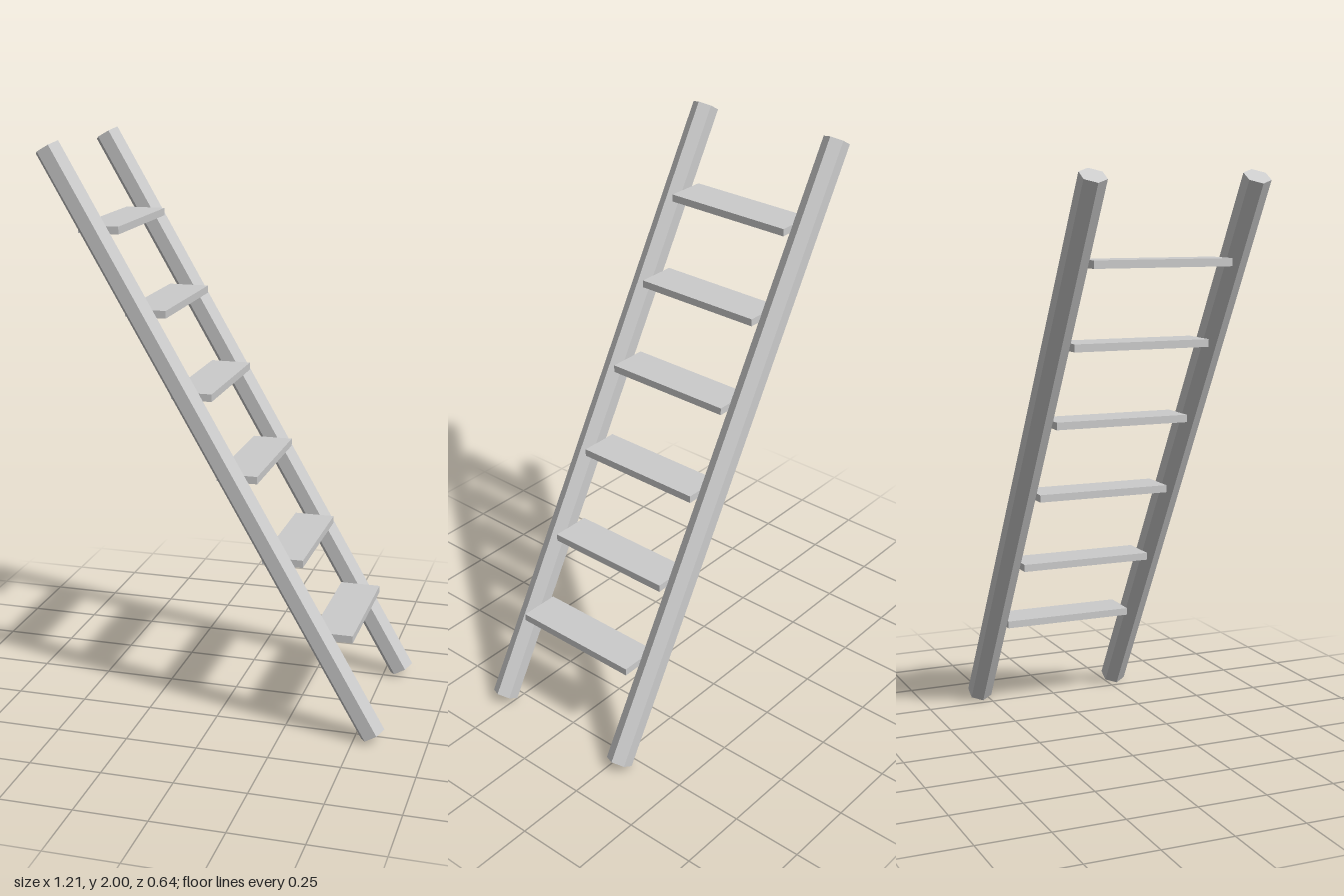
import * as THREE from 'three';

export function createModel() {
  const group = new THREE.Group();
  group.name = 'ladder';
  const material = new THREE.MeshStandardMaterial({ color: 0xcccccc, flatShading: true });

  // Two leaning hexagonal rails, flat faces turned to the sides
  const radius = 0.046, length = 2.256, lean = Math.PI / 6;
  const railGeometry = new THREE.CylinderGeometry(radius, radius, length, 6);
  railGeometry.rotateY(Math.PI / 2); // corners along x
  railGeometry.rotateZ(lean);
  for (const side of [1, -1]) {
    const rail = new THREE.Mesh(railGeometry, material);
    rail.name = side > 0 ? 'frontRail' : 'backRail';
    rail.position.set(0, 1, side * 0.281);
    group.add(rail);
  }

  // Flat level treads between the rails, as [x, y] centres
  const treadGeometry = new THREE.BoxGeometry(0.143, 0.026, 0.484);
  const centres = [
    [0.408, 0.344], [0.231, 0.599], [0.07, 0.882],
    [-0.089, 1.157], [-0.247, 1.432], [-0.408, 1.706],
  ];
  centres.forEach(([x, y], i) => {
    const tread = new THREE.Mesh(treadGeometry, material);
    tread.name = `tread${i + 1}`;
    tread.position.set(x, y, 0);
    group.add(tread);
  });

  return group;
}
